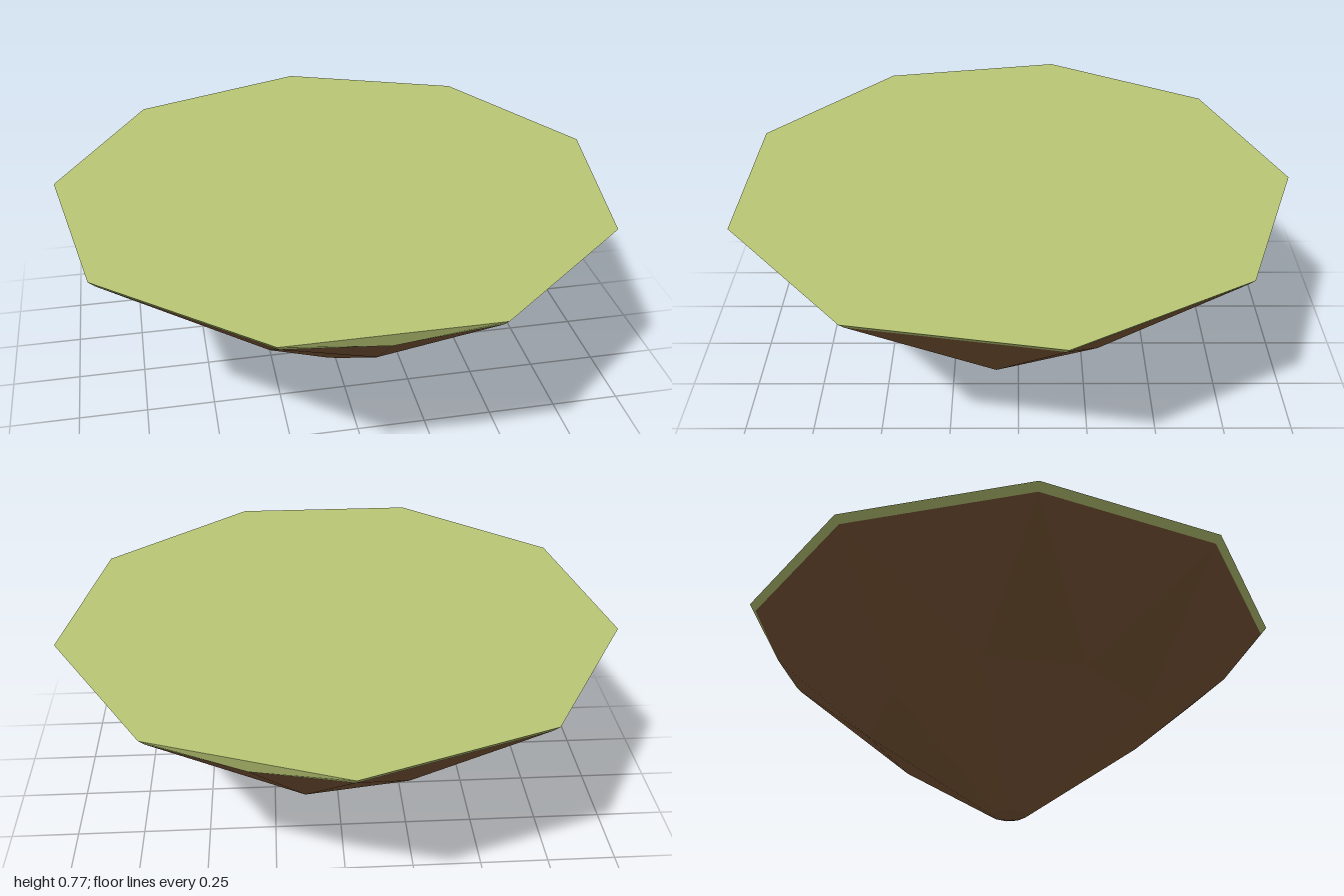
import * as THREE from 'three';

const SIDES = 9, STEP = 40, CENTRE_Z = 0.03;
const RIM_RADIUS = 1.0154, TOP_Y = 0.77, SEAM_Y = 0.745;

// Point on a ring: angle in degrees from the front towards +x
function polar(angle, radius, y) {
  const a = THREE.MathUtils.degToRad(angle);
  return new THREE.Vector3(Math.sin(a) * radius, y, Math.cos(a) * radius + CENTRE_Z);
}

function meshFromTriangles(name, triangles, material) {
  const geometry = new THREE.BufferGeometry().setFromPoints(triangles.flat());
  geometry.computeVertexNormals();
  const mesh = new THREE.Mesh(geometry, material);
  mesh.name = name;
  return mesh;
}

export function createModel() {
  const grass = new THREE.MeshStandardMaterial({ color: 0xbac875 });
  grass.name = 'grass green';
  const earth = new THREE.MeshStandardMaterial({ color: 0x805a39 });
  earth.name = 'earth brown';

  // Mid-height of each rock corner, starting at the front
  const rockHeights = [0.37, 0.33, 0.31, 0.33, 0.34, 0.36, 0.4, 0.4, 0.38];
  // Edges where the turf hangs lower: front and back right
  const droopingEdges = [0, 4];

  const rim = [], seam = [], sag = [], rock = [], tip = [];
  for (let i = 0; i < SIDES; i++) {
    rim.push(polar(20 + STEP * i, RIM_RADIUS, TOP_Y));
    seam.push(polar(20 + STEP * i, 0.992, SEAM_Y));
    rock.push(polar(5 + STEP * i, 0.54, rockHeights[i]));
    tip.push(polar(5 + STEP * i, 0.065, 0.02));
  }
  for (let i = 0; i < SIDES; i++) {
    const prev = (i + SIDES - 1) % SIDES;
    sag.push(droopingEdges.includes(i)
      ? polar(STEP * i, 0.935, 0.715)
      : seam[prev].clone().lerp(seam[i], 0.5));
  }

  const topCentre = new THREE.Vector3(0, TOP_Y, CENTRE_Z);
  const apex = new THREE.Vector3(0, 0, CENTRE_Z);
  const turf = [], edge = [], upper = [], lower = [];
  for (let i = 0; i < SIDES; i++) {
    const prev = (i + SIDES - 1) % SIDES, next = (i + 1) % SIDES;
    turf.push([topCentre, rim[prev], rim[i]]);
    // Turf lip along one edge
    edge.push([rim[prev], seam[prev], sag[i]], [rim[prev], sag[i], rim[i]], [rim[i], sag[i], seam[i]]);
    // Broad facets below the turf
    upper.push([seam[prev], rock[i], sag[i]], [sag[i], rock[i], seam[i]], [seam[i], rock[i], rock[next]]);
    // Taper to the blunt point
    lower.push([rock[i], tip[i], tip[next]], [rock[i], tip[next], rock[next]], [tip[i], apex, tip[next]]);
  }

  const group = new THREE.Group();
  group.name = 'floatingIsland';
  group.add(
    meshFromTriangles('grassTop', turf, grass),
    meshFromTriangles('grassEdge', edge, grass),
    meshFromTriangles('upperRock', upper, earth),
    meshFromTriangles('lowerRock', lower, earth),
  );
  return group;
}
